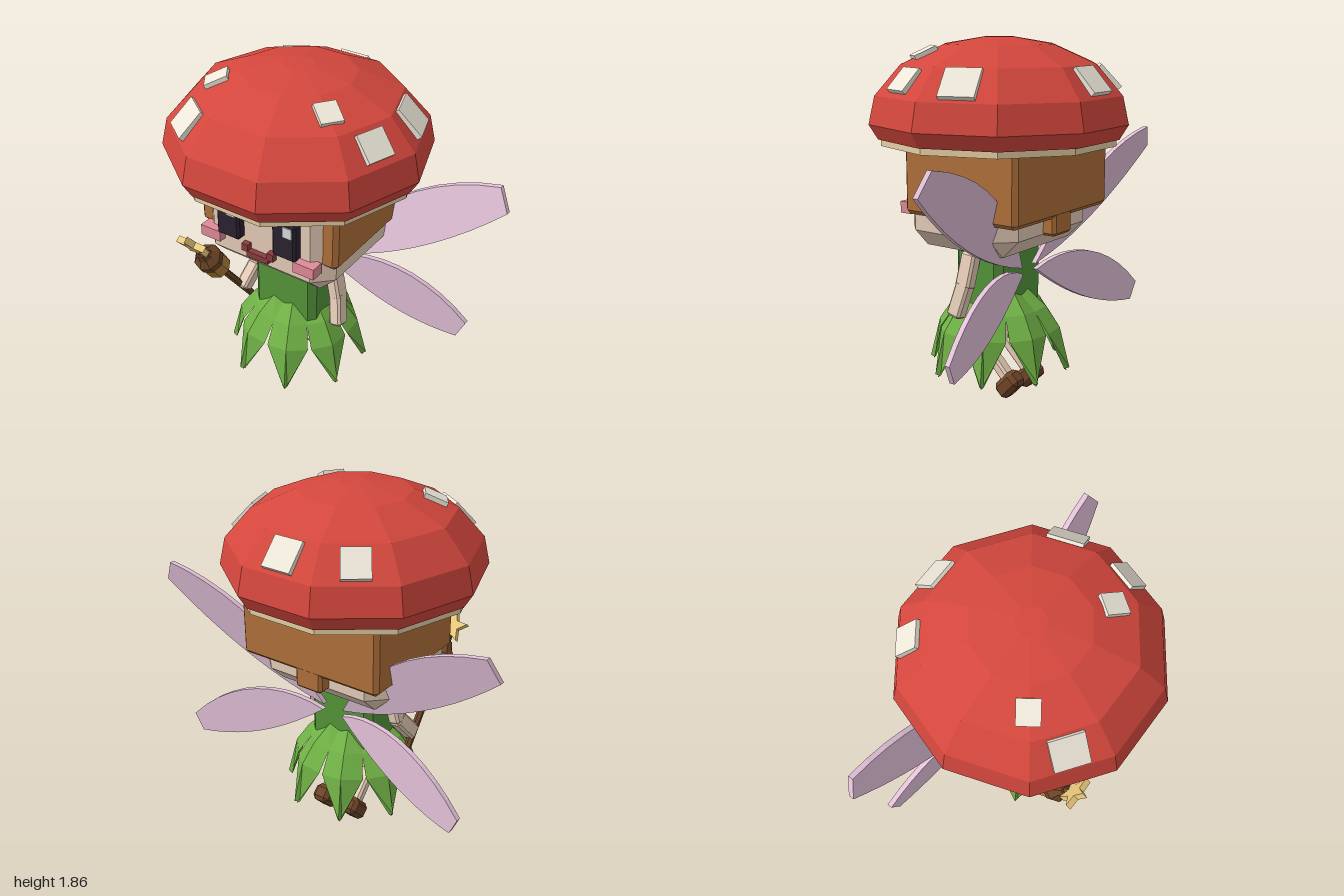
import * as THREE from 'three';
import { ConvexGeometry } from 'three/addons/geometries/ConvexGeometry.js';

const mat = (color, extra = {}) => new THREE.MeshStandardMaterial({ color, flatShading: true, ...extra });
const SKIN = mat(0xe6cdb8), HAIR = mat(0xb0703a), RED = mat(0xd4473d), CREAM = mat(0xe6cfa4), SPOT = mat(0xeee8da);
const GREEN = mat(0x54953a), LEAF = mat(0x6fb045, { side: THREE.DoubleSide }), WING = mat(0xe4c2da);
const BROWN = mat(0x6e4527), GOLD = mat(0xb07f38), STAR = mat(0xecca7c), EYE = mat(0x2b2330), GLINT = mat(0xd8dce0);
const PINK = mat(0xe08a98), MOUTH = mat(0x8a3c3e);

function add(parent, name, geo, material, x = 0, y = 0, z = 0) {
  const m = new THREE.Mesh(geo, material);
  m.name = name;
  m.position.set(x, y, z);
  parent.add(m);
  return m;
}

// box with all edges cut at 45 degrees
function chamferBox(w, h, d, c) {
  const pts = [], a = w / 2, b = h / 2, e = d / 2;
  for (const i of [-1, 1]) for (const j of [-1, 1]) for (const k of [-1, 1]) pts.push(
    new THREE.Vector3(i * a, j * (b - c), k * (e - c)),
    new THREE.Vector3(i * (a - c), j * b, k * (e - c)),
    new THREE.Vector3(i * (a - c), j * (b - c), k * e));
  return new ConvexGeometry(pts);
}

// box limb between two points
function limb(parent, name, from, to, w, d, material) {
  const a = new THREE.Vector3(...from), b = new THREE.Vector3(...to), dir = b.clone().sub(a);
  const m = add(parent, name, chamferBox(w, dir.length() + 0.03, d, 0.012), material);
  m.position.copy(a).lerp(b, 0.5);
  m.quaternion.setFromUnitVectors(new THREE.Vector3(0, -1, 0), dir.normalize());
}

const lathe = (profile, sides) =>
  new THREE.LatheGeometry(profile.map(p => new THREE.Vector2(...p)), sides, Math.PI / 2);

// creased leaf lofted through diamond sections: [radius, height, half width]
function leafGeometry() {
  const stations = [[0.13, 0.56, 0.05], [0.23, 0.47, 0.09], [0.305, 0.36, 0.11], [0.375, 0.14, 0.012]];
  const pos = [], idx = [];
  stations.forEach(([r, y, w], i) => {
    const ridge = i === 3 ? 0.01 : 0.025;
    pos.push(-w, y, r - 0.015, 0, y + 0.008, r + ridge, w, y, r - 0.015, 0, y - 0.01, r - 0.005);
    if (i === 3) return;
    for (let k = 0; k < 4; k++) {
      const a = i * 4 + k, b = i * 4 + (k + 1) % 4;
      idx.push(a, a + 4, b + 4, a, b + 4, b);
    }
  });
  idx.push(0, 1, 2, 0, 2, 3, 12, 14, 13, 12, 15, 14);
  const g = new THREE.BufferGeometry();
  g.setAttribute('position', new THREE.Float32BufferAttribute(pos, 3));
  g.setIndex(idx);
  g.computeVertexNormals();
  return g;
}

// thin wing blade, leaned back by zAt(x, y)
function wingGeometry(side, root, upper, tipA, tipB, lower, zAt) {
  const s = new THREE.Shape();
  s.moveTo(side * root[0], root[1]);
  s.bezierCurveTo(side * upper[0], upper[1], side * upper[2], upper[3], side * tipA[0], tipA[1]);
  s.lineTo(side * tipB[0], tipB[1]);
  s.bezierCurveTo(side * lower[0], lower[1], side * lower[2], lower[3], side * root[0], root[1]);
  const g = new THREE.ExtrudeGeometry(s, { depth: 0.028, bevelEnabled: false, curveSegments: 10 });
  const p = g.attributes.position;
  for (let i = 0; i < p.count; i++) p.setZ(i, p.getZ(i) - 0.014 + zAt(Math.abs(p.getX(i)), p.getY(i)));
  g.computeVertexNormals();
  return g;
}

function mushroomCap() {
  const g = new THREE.Group();
  g.name = 'mushroomCap';
  add(g, 'capDome', lathe([[0, 1.375], [0.625, 1.375], [0.67, 1.45], [0.638, 1.59], [0.505, 1.74],
    [0.285, 1.835], [0.075, 1.87], [0, 1.87]], 10), RED);
  add(g, 'capUnderside', new THREE.CylinderGeometry(0.61, 0.61, 0.04, 10, 1, false, Math.PI / 2), CREAM, 0, 1.362, 0);
  // azimuth in degrees, radius, height, width, length, slope
  const spots = [[270, 0.545, 1.67, 0.16, 0.16, 0.82], [234, 0.55, 1.67, 0.14, 0.15, 0.82],
    [342, 0.545, 1.67, 0.18, 0.17, 0.82], [18, 0.545, 1.67, 0.15, 0.14, 0.82], [126, 0.545, 1.67, 0.17, 0.16, 0.82],
    [145, 0.385, 1.79, 0.11, 0.12, 0.42], [36, 0.385, 1.79, 0.11, 0.12, 0.42]];
  for (const [az, r, y, w, len, slope] of spots) {
    const pivot = new THREE.Group();
    pivot.name = 'capSpot';
    pivot.rotation.y = -az * Math.PI / 180;
    add(pivot, 'spotTile', new THREE.BoxGeometry(len, 0.035, w), SPOT, r, y, 0).rotation.z = -slope;
    g.add(pivot);
  }
  return g;
}

function head() {
  const g = new THREE.Group();
  g.name = 'head';
  add(g, 'face', chamferBox(0.77, 0.56, 0.665, 0.093), SKIN, 0, 1.1, 0);
  add(g, 'hair', chamferBox(0.825, 0.375, 0.69, 0.022), HAIR, 0, 1.183, -0.057);
  add(g, 'hairLock', chamferBox(0.16, 0.13, 0.09, 0.015), HAIR, 0, 0.97, -0.355);
  for (const s of [-1, 1]) {
    add(g, 'eye', chamferBox(0.138, 0.21, 0.06, 0.012), EYE, s * 0.168, 1.135, 0.35);
    add(g, 'eyeGlint', new THREE.BoxGeometry(0.052, 0.058, 0.01), GLINT, s * 0.17 + 0.025, 1.195, 0.381);
    add(g, 'cheek', new THREE.BoxGeometry(0.12, 0.06, 0.07), PINK, s * 0.282, 1.008, 0.342);
    add(g, 'browUpper', new THREE.BoxGeometry(0.15, 0.03, 0.04), BROWN, s * 0.17, 1.295, 0.345).rotation.z = -s * 0.12;
    add(g, 'browLower', new THREE.BoxGeometry(0.14, 0.03, 0.036), BROWN, s * 0.175, 1.283, 0.345).rotation.z = s * 0.38;
    add(g, 'mouthCorner', new THREE.BoxGeometry(0.038, 0.042, 0.04), MOUTH, s * 0.077, 0.993, 0.345);
  }
  add(g, 'mouth', new THREE.BoxGeometry(0.13, 0.032, 0.04), MOUTH, 0, 0.963, 0.345);
  return g;
}

// wand built upright from its foot, then leaned forward
function wand() {
  const g = new THREE.Group();
  g.name = 'wand';
  add(g, 'wandRod', new THREE.CylinderGeometry(0.02, 0.02, 0.7, 6), BROWN, 0, 0.35, 0);
  add(g, 'wandBulb', lathe([[0, 0.415], [0.035, 0.415], [0.07, 0.45], [0.07, 0.54], [0.045, 0.575], [0, 0.575]], 8), GOLD);
  add(g, 'wandBulbCap', lathe([[0, 0.545], [0.075, 0.545], [0.075, 0.585], [0.045, 0.62], [0.03, 0.66], [0, 0.66]], 8), BROWN);
  const star = new THREE.Shape();
  for (let i = 0; i < 10; i++) {
    const r = i % 2 ? 0.04 : 0.09, a = Math.PI / 2 + i * Math.PI / 5;
    star[i ? 'lineTo' : 'moveTo'](r * Math.cos(a), r * Math.sin(a));
  }
  add(g, 'wandStar', new THREE.ExtrudeGeometry(star, { depth: 0.035, bevelEnabled: false }), STAR, 0, 0.745, -0.0175);
  g.position.set(-0.297, 0.4, 0.04);
  g.rotation.x = 0.657;
  return g;
}

export function createModel() {
  const model = new THREE.Group();
  model.name = 'mushroomFairy';
  model.add(mushroomCap(), head(), wand());

  // torso and leaf skirt
  add(model, 'torso', chamferBox(0.385, 0.38, 0.295, 0.035), GREEN, 0, 0.63, 0.003);
  const leaf = leafGeometry();
  for (let i = 0; i < 8; i++) add(model, 'skirtLeaf', leaf, LEAF).rotation.y = (i + 0.5) * Math.PI / 4;

  // arms, legs, boots and wings on both sides
  for (const s of [-1, 1]) {
    const hand = s > 0 ? [0.292, 0.48, 0.055] : [-0.285, 0.51, 0.12];
    limb(model, 'upperArm', [s * 0.225, 0.78, 0.01], [s * 0.262, 0.63, 0.02], 0.07, 0.09, SKIN);
    limb(model, 'forearm', [s * 0.262, 0.63, 0.02], hand, 0.07, 0.085, SKIN);
    limb(model, 'thigh', [s * 0.085, 0.5, 0.0], [s * 0.085, 0.26, 0.02], 0.075, 0.07, SKIN);
    limb(model, 'shin', [s * 0.088, 0.26, 0.02], [s * 0.09, 0.12, -0.12], 0.07, 0.06, SKIN);
    add(model, 'boot', chamferBox(0.1, 0.095, 0.15, 0.022), BROWN, s * 0.093, 0.08, -0.14).rotation.x = 0.82;
    add(model, 'upperWing', wingGeometry(s, [0.06, 0.71], [0.25, 1.05, 0.55, 1.29], [0.94, 1.35], [1.0, 1.235],
      [0.75, 1.0, 0.42, 0.79], (x, y) => -0.18 - 0.25 * (y - 0.71)), WING);
    add(model, 'lowerWing', wingGeometry(s, [0.06, 0.68], [0.3, 0.79, 0.6, 0.73], [0.848, 0.46], [0.803, 0.362],
      [0.55, 0.38, 0.32, 0.48], x => -0.175 - 0.2 * x), WING);
  }
  return model;
}
